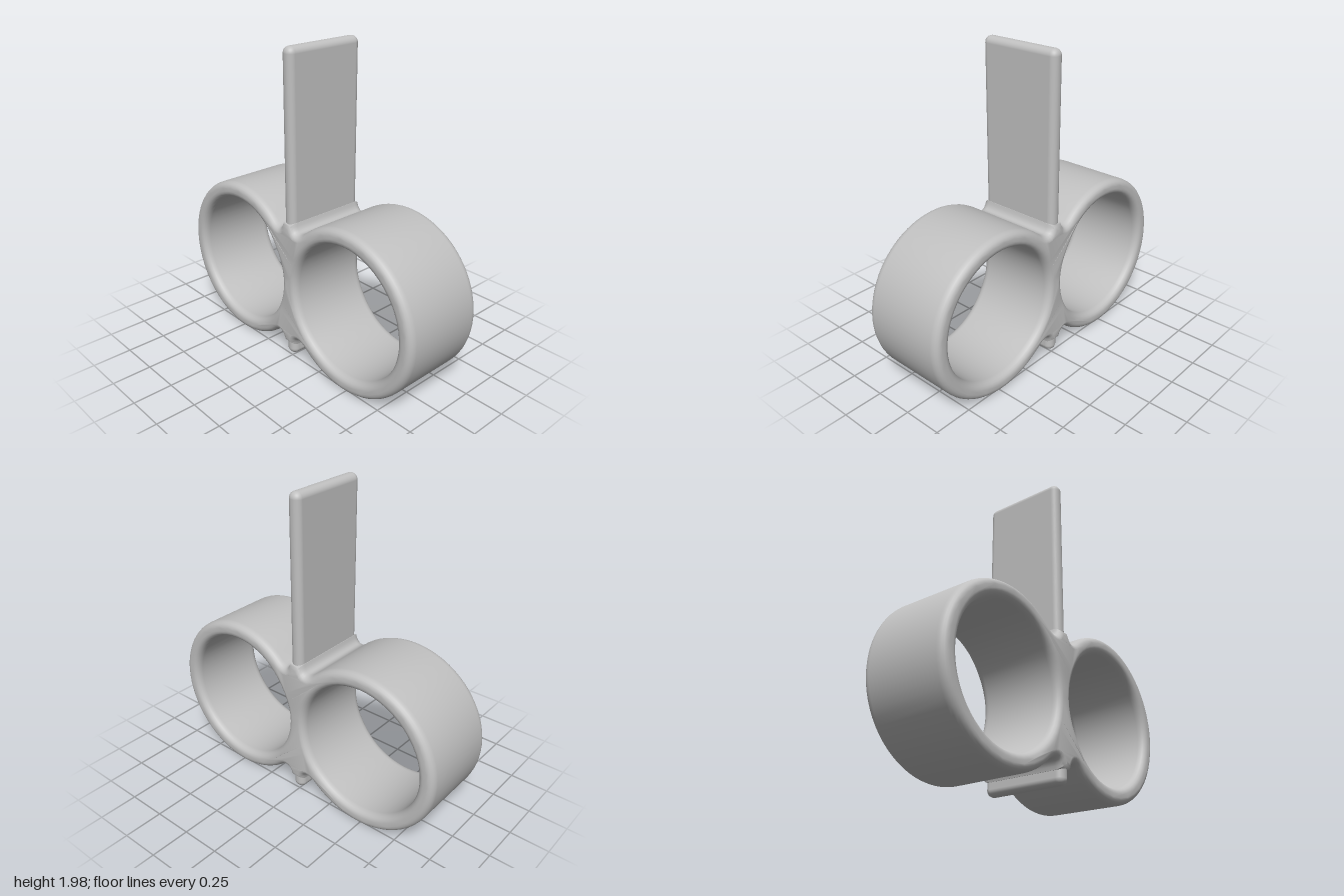
import * as THREE from 'three';
import { toCreasedNormals } from 'three/addons/utils/BufferGeometryUtils.js';
import { RoundedBoxGeometry } from 'three/addons/geometries/RoundedBoxGeometry.js';

const CX = 0.48, CY = 0.525, OUTER = 0.52, INNER = 0.417;

// Right half of the outline, from the bottom fin root around to the blade root
function halfOutline() {
  const v = (x, y) => new THREE.Vector2(x, y);
  const joinX = 0.13;
  const a = Math.acos((joinX - CX) / OUTER);
  const dy = OUTER * Math.sin(a);
  const root = 0.42;
  const lower = new THREE.QuadraticBezierCurve(v(0.045, CY - root), v(0.06, CY - 0.335), v(joinX, CY - dy));
  const upper = new THREE.QuadraticBezierCurve(v(joinX, CY + dy), v(0.06, CY + 0.335), v(0.045, CY + root));
  const pts = lower.getPoints(8);
  const n = 52;
  for (let i = 1; i < n; i++) {
    const t = -a + (2 * a * i) / n;
    pts.push(v(CX + OUTER * Math.cos(t), CY + OUTER * Math.sin(t)));
  }
  return pts.concat(upper.getPoints(8));
}

export function createModel() {
  const group = new THREE.Group();
  const grey = new THREE.MeshStandardMaterial({ color: 0xc0c0c0 });
  grey.name = 'plain grey';

  // Twin rings joined by a filleted web
  const half = halfOutline();
  const mirrored = half.map((p) => new THREE.Vector2(-p.x, p.y)).reverse();
  const shape = new THREE.Shape(half.concat(mirrored));
  for (const side of [-1, 1]) {
    const hole = new THREE.Path();
    hole.absarc(side * (CX - 0.003), CY, INNER, 0, Math.PI * 2, true);
    shape.holes.push(hole);
  }
  const bevel = 0.04, thick = 0.05, depth = 0.565;
  let rings = new THREE.ExtrudeGeometry(shape, {
    depth: depth - 2 * thick, steps: 1, curveSegments: 28,
    bevelEnabled: true, bevelSize: bevel, bevelOffset: -bevel,
    bevelThickness: thick, bevelSegments: 5,
  });
  rings.translate(0, 0, -depth / 2 + thick);

  // Slight swelling where the rings meet above and below the waist
  const pos = rings.attributes.position;
  for (let i = 0; i < pos.count; i++) {
    const dx = pos.getX(i) / 0.15;
    const dy = (Math.abs(pos.getY(i) - CY) - 0.3) / 0.15;
    pos.setZ(i, pos.getZ(i) * (1 + 0.035 * Math.exp(-dx * dx - dy * dy)));
  }
  rings = toCreasedNormals(rings, 0.9);
  const ringMesh = new THREE.Mesh(rings, grey);
  ringMesh.name = 'twinRings';
  group.add(ringMesh);

  // Upright blade running through the web and out below as a short fin
  const bottom = 0.025, top = 1.985;
  const blade = new THREE.Mesh(new RoundedBoxGeometry(0.084, top - bottom, 0.54, 5, 0.04), grey);
  blade.position.y = (top + bottom) / 2;
  blade.name = 'bladeAndFin';
  group.add(blade);

  return group;
}
